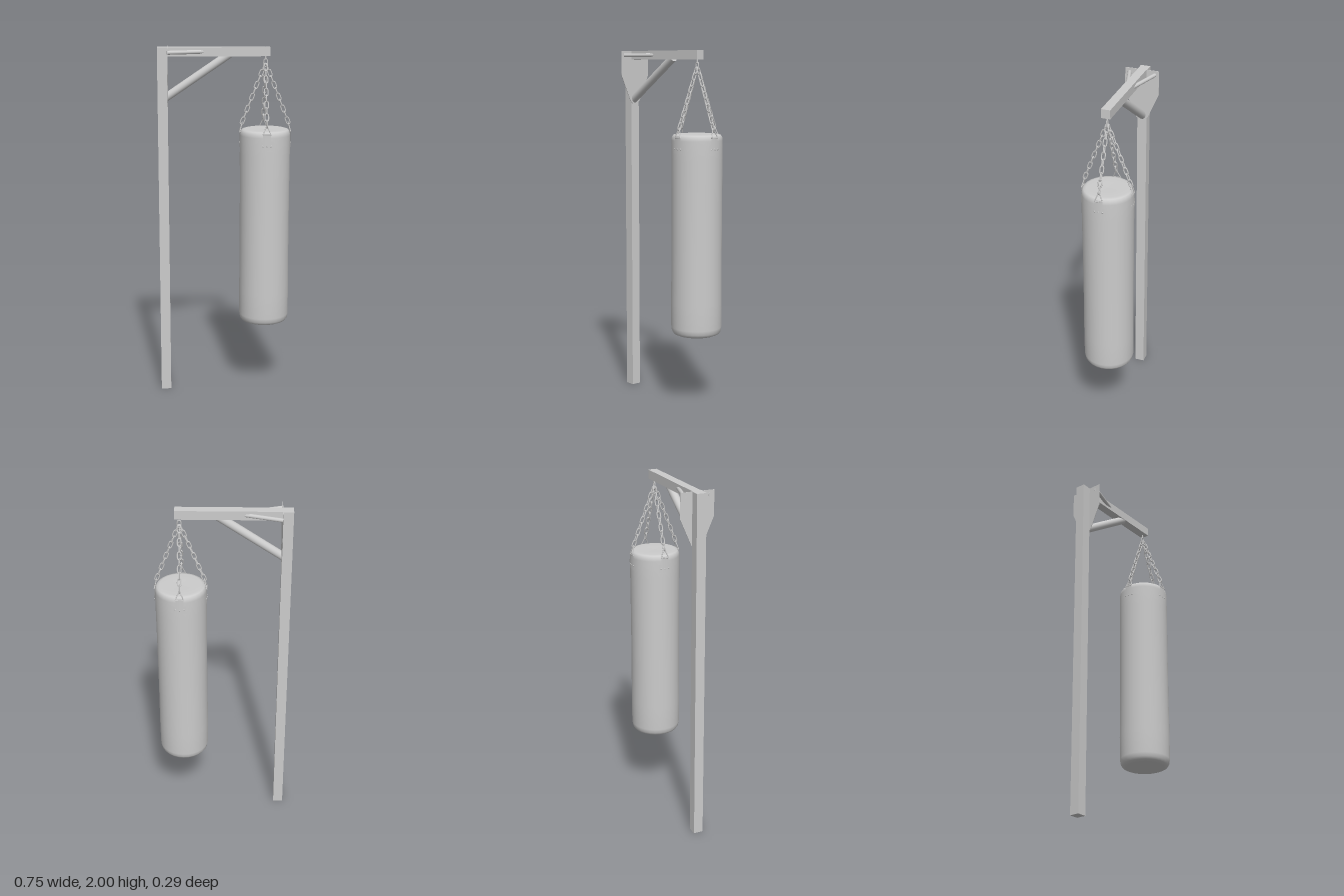
import * as THREE from 'three';

const mat = new THREE.MeshStandardMaterial({ color: 0xcccccc });
const matDouble = new THREE.MeshStandardMaterial({ color: 0xcccccc, side: THREE.DoubleSide });
const V = (x, y, z) => new THREE.Vector3(x, y, z);

function add(parent, name, geometry, material = mat) {
  const mesh = new THREE.Mesh(geometry, material);
  mesh.name = name;
  parent.add(mesh);
  return mesh;
}

function box(parent, name, x0, x1, y0, y1, z0, z1) {
  add(parent, name, new THREE.BoxGeometry(x1 - x0, y1 - y0, z1 - z0))
    .position.set((x0 + x1) / 2, (y0 + y1) / 2, (z0 + z1) / 2);
}

// Round bar between two points
function bar(parent, name, a, b, r, sides = 20) {
  const d = b.clone().sub(a);
  const mesh = add(parent, name, new THREE.CylinderGeometry(r, r, d.length(), sides));
  mesh.position.copy(a).add(b).multiplyScalar(0.5);
  mesh.quaternion.setFromUnitVectors(V(0, 1, 0), d.normalize());
}

// Closed chain link in the XY plane, long along Y
function linkGeometry(length, width, wire) {
  const r = width / 2 - wire, h = length / 2 - wire - r, pts = [];
  for (let i = 0; i < 12; i++) {
    const t = (i + 0.5) / 12 * Math.PI * 2;
    pts.push(V(r * Math.cos(t), r * Math.sin(t) + (i < 6 ? h : -h), 0));
  }
  return new THREE.TubeGeometry(new THREE.CatmullRomCurve3(pts, true), 24, wire, 6, true);
}

function buildFrame() {
  const frame = new THREE.Group();
  frame.name = 'frame';
  box(frame, 'post', -0.375, -0.319, 0, 2, -0.029, 0.026);
  box(frame, 'beam', -0.319, 0.25, 1.95, 2, -0.025, 0.025);

  // Tapered plate between post and beam
  const s = new THREE.Shape();
  s.moveTo(-0.098, 2);
  s.lineTo(-0.098, 1.86);
  s.lineTo(-0.034, 1.715);
  s.quadraticCurveTo(0, 1.67, 0.034, 1.715);
  s.lineTo(0.098, 1.86);
  s.lineTo(0.098, 2);
  const plate = add(frame, 'mountingPlate',
    new THREE.ExtrudeGeometry(s, { depth: 0.003, bevelEnabled: false }));
  plate.rotation.y = Math.PI / 2;
  plate.position.x = -0.32;

  // Diagonal brace and the two small side braces
  bar(frame, 'diagonalBrace', V(-0.335, 1.718, 0), V(0.024, 1.96, 0), 0.023);
  for (const side of [-1, 1]) {
    bar(frame, 'sideBrace', V(-0.319, 1.975, side * 0.073), V(-0.11, 1.975, side * 0.012), 0.011, 16);
  }
  return frame;
}

// Everything here is centred on the hanging axis
function buildBag() {
  const bag = new THREE.Group();
  bag.name = 'hangingBag';

  // Slightly uneven filled body with rounded ends
  const profile = [
    [0, 0.41], [0.07, 0.411], [0.11, 0.415], [0.129, 0.423], [0.138, 0.437], [0.142, 0.46],
    [0.143, 0.6], [0.141, 0.85], [0.141, 1.15], [0.142, 1.4], [0.142, 1.51],
    [0.139, 1.528], [0.131, 1.54], [0.115, 1.544], [0.06, 1.543], [0, 1.542],
  ].map(([r, y]) => new THREE.Vector2(r, y));
  add(bag, 'bagBody', new THREE.LatheGeometry(profile, 28));

  // Eye bolt under the beam
  bar(bag, 'eyeBolt', V(0, 1.93, 0), V(0, 2.001, 0), 0.004, 8);
  const link = linkGeometry(0.05, 0.026, 0.0036);
  add(bag, 'eyeRing', link).position.y = 1.912;

  // Four identical straps, each with a chain leading to the eye
  for (let k = 0; k < 4; k++) {
    const arm = new THREE.Group();
    arm.name = 'strapAndChain';
    arm.rotation.y = k * Math.PI / 2;
    bag.add(arm);

    const patch = (name, r, y0, y1, angle) => {
      add(arm, name, new THREE.CylinderGeometry(r, r, y1 - y0, 8, 1, true, -angle / 2, angle), matDouble)
        .position.y = (y0 + y1) / 2;
    };
    patch('strapPatch', 0.1445, 1.443, 1.49, 0.52);
    patch('strapTab', 0.144, 1.48, 1.535, 0.31);

    // Rivets
    for (let i = -1; i <= 1; i++) {
      const rivet = add(arm, 'rivet', new THREE.SphereGeometry(0.005, 8, 6));
      rivet.scale.z = 0.4;
      rivet.rotation.y = i * 0.16;
      rivet.position.set(0.1445 * Math.sin(i * 0.16), 1.466, 0.1445 * Math.cos(i * 0.16));
    }

    // Triangular wire ring through the tab
    const corners = [V(-0.023, 1.528, 0.143), V(0.023, 1.528, 0.143), V(0, 1.582, 0.129)];
    corners.forEach((c, i) => bar(arm, 'triangleRing', c, corners[(i + 1) % 3], 0.003, 6));

    // Chain with every other link turned a quarter
    const start = V(0, 1.572, 0.133), end = V(0, 1.905, 0.004);
    const count = 10;
    const chain = new THREE.Group();
    chain.name = 'chain';
    chain.position.copy(start);
    chain.quaternion.setFromUnitVectors(V(0, 1, 0), end.clone().sub(start).normalize());
    arm.add(chain);
    const pitch = start.distanceTo(end) / count;
    for (let i = 0; i < count; i++) {
      const mesh = add(chain, 'chainLink', link);
      mesh.position.y = (i + 0.5) * pitch;
      mesh.rotation.y = i % 2 ? 0 : Math.PI / 2;
    }
  }
  return bag;
}

export function createModel() {
  const model = new THREE.Group();
  model.name = 'punchBagStand';
  model.add(buildFrame());
  const bag = buildBag();
  bag.position.x = 0.226;
  model.add(bag);
  return model;
}
